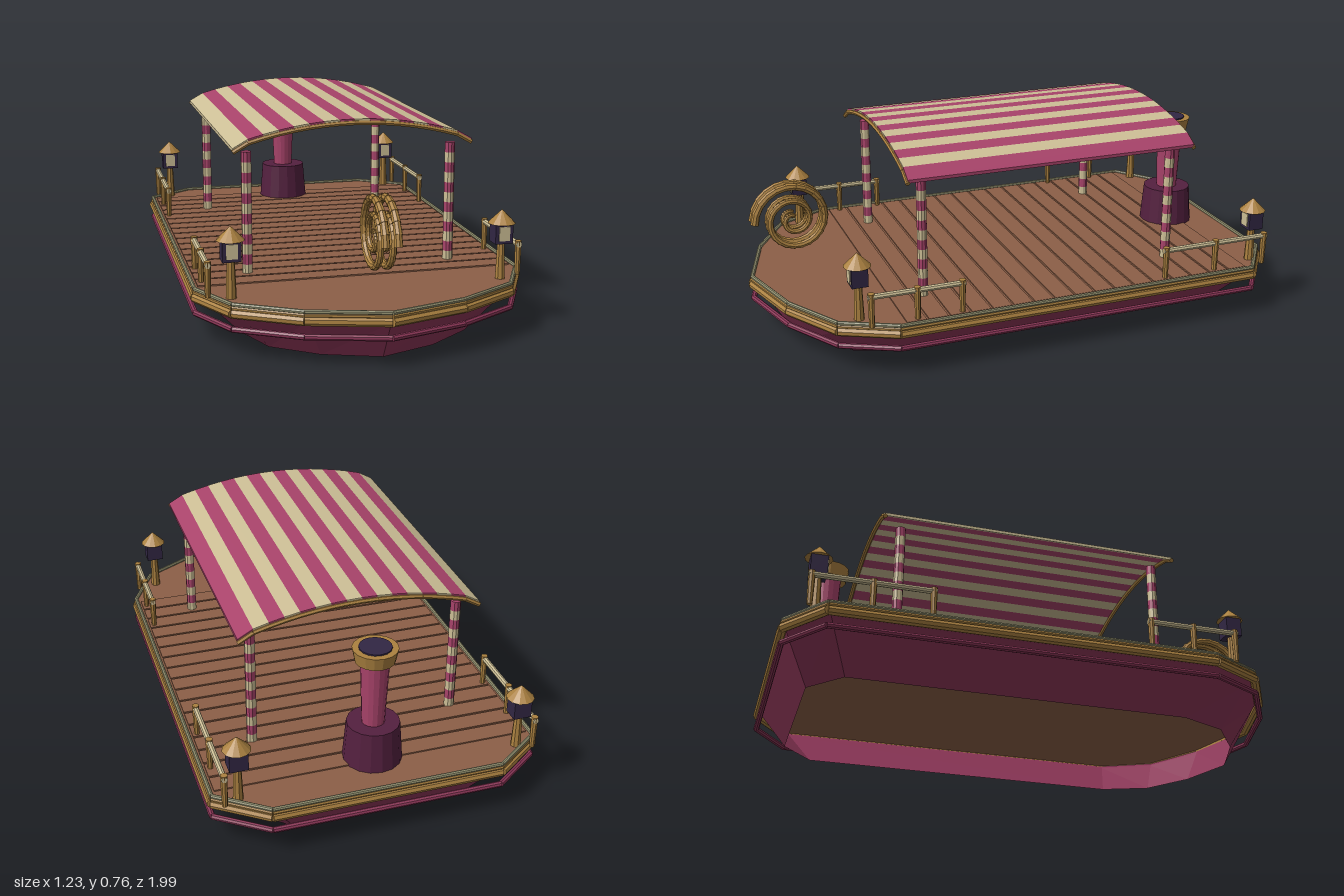
import * as THREE from 'three';

const mat = (name, color, extra = {}) => {
  const m = new THREE.MeshStandardMaterial({ color, flatShading: true, ...extra });
  m.name = name;
  return m;
};

export function createModel() {
  const pink = mat('pink', 0xa8436a);
  const cream = mat('cream', 0xcdbf96);
  const brass = mat('brass', 0xab8140);
  const wood = mat('deck brown', 0x8c5f47);
  const plum = mat('plum', 0x54203f);
  const indigo = mat('indigo', 0x322744);
  const trim = mat('weathered trim', 0x92906f);
  const hullMat = mat('hull rose', 0x8a3556, { side: THREE.DoubleSide });

  const model = new THREE.Group();
  model.name = 'canopyBoat';
  const group = (name, parent = model) => {
    const g = new THREE.Group();
    g.name = name;
    parent.add(g);
    return g;
  };
  const add = (name, geo, material, x, y, z, parent = model) => {
    const m = new THREE.Mesh(geo, material);
    m.name = name;
    m.position.set(x, y, z);
    parent.add(m);
    return m;
  };
  const V = (x, y, z) => new THREE.Vector3(x, y, z);
  // round bar between two points
  const bar = (name, a, b, ra, rb, material, parent, sides = 8) => {
    const m = add(name, new THREE.CylinderGeometry(rb, ra, a.distanceTo(b), sides), material, 0, 0, 0, parent);
    m.position.copy(a).add(b).multiplyScalar(0.5);
    m.quaternion.setFromUnitVectors(V(0, 1, 0), b.clone().sub(a).normalize());
    return m;
  };

  // Plan outline, mirrored from the +x half (bow to stern)
  const half = [[0.28, 0.9], [0.5, 0.77], [0.6, 0.57], [0.6, -0.85], [0.42, -0.98]];
  const outline = [[0, 0.98], ...half, ...half.slice().reverse().map(([x, z]) => [-x, z])];
  const n = outline.length;

  // Hull: open flared shell
  const rings = [[0.72, 0.89, 0], [0.95, 0.98, 0.15], [0.99, 0.99, 0.17]];
  const pos = [], idx = [];
  rings.forEach(([sx, sz, y]) => outline.forEach(([x, z]) => pos.push(x * sx, y, z * sz)));
  for (let r = 0; r < rings.length - 1; r++) {
    for (let i = 0; i < n; i++) {
      const a = r * n + i, b = r * n + (i + 1) % n;
      idx.push(a, b, b + n, a, b + n, a + n);
    }
  }
  const hullGeo = new THREE.BufferGeometry();
  hullGeo.setAttribute('position', new THREE.Float32BufferAttribute(pos, 3));
  hullGeo.setIndex(idx);
  hullGeo.computeVertexNormals();
  add('hull', hullGeo, hullMat, 0, 0, 0);

  // Deck slab and cross planks
  const deckShape = new THREE.Shape(outline.map(([x, z]) => new THREE.Vector2(x, -z)));
  const deckGeo = new THREE.ExtrudeGeometry(deckShape, { depth: 0.025, bevelEnabled: false });
  deckGeo.rotateX(-Math.PI / 2);
  add('deck', deckGeo, wood, 0, 0.165, 0);
  const planks = group('planks');
  for (let i = 0; i < 17; i++) {
    add('plank', new THREE.BoxGeometry(1.17, 0.006, 0.072), wood, 0, 0.192, -0.79 + i * 0.081, planks);
  }

  // Rails that follow the outline
  const loopRail = (name, y, r, material, s = 1) => {
    const g = group(name);
    for (let i = 0; i < n; i++) {
      const [ax, az] = outline[i], [bx, bz] = outline[(i + 1) % n];
      bar('railSegment', V(ax * s, y, az * s), V(bx * s, y, bz * s), r, r, material, g);
    }
  };
  loopRail('rubRail', 0.105, 0.011, hullMat);
  loopRail('brassBelt', 0.161, 0.017, brass);
  loopRail('brassLip', 0.181, 0.009, brass);
  loopRail('deckEdgeTrim', 0.193, 0.008, trim);

  // Arched striped awning
  const archY = (x) => 0.757 - 0.06 * (x / 0.4) ** 2 - (Math.abs(x) > 0.42 ? 0.014 : 0);
  const awning = group('awning');
  const z0 = -0.65, z1 = 0.485, w = 0.888 / 16;
  for (let i = 0; i < 16; i++) {
    const xa = -0.444 + i * w, xb = xa + w;
    const s = new THREE.Shape([[xa, archY(xa) - 0.012], [xb, archY(xb) - 0.012], [xb, archY(xb)], [xa, archY(xa)]]
      .map(([x, y]) => new THREE.Vector2(x, y)));
    add('awningStripe', new THREE.ExtrudeGeometry(s, { depth: z1 - z0, bevelEnabled: false }),
      i % 2 ? pink : cream, 0, 0, z0, awning);
    for (const z of [z0, z1]) {
      bar('awningRib', V(xa, archY(xa) - 0.014, z), V(xb, archY(xb) - 0.014, z), 0.009, 0.009, brass, awning, 6);
    }
  }

  // Banded awning posts
  for (const x of [-0.385, 0.385]) {
    for (const z of [0.42, -0.58]) {
      const post = group('awningPost');
      const h = 0.455 / 12;
      for (let i = 0; i < 12; i++) {
        add('postBand', new THREE.CylinderGeometry(0.019, 0.019, h, 10), i % 2 ? pink : cream, x, 0.19 + h * (i + 0.5), z, post);
      }
    }
  }

  // Funnel
  const funnel = group('funnel');
  funnel.position.z = -0.79;
  const ring = (name, rt, rb, ya, yb, m) =>
    add(name, new THREE.CylinderGeometry(rt, rb, yb - ya, 16), m, 0, (ya + yb) / 2, 0, funnel);
  ring('funnelBase', 0.095, 0.107, 0.19, 0.34, plum);
  ring('funnelShaft', 0.052, 0.041, 0.34, 0.595, pink);
  ring('funnelCap', 0.081, 0.071, 0.59, 0.64, brass);
  ring('funnelMouth', 0.058, 0.058, 0.637, 0.645, indigo);

  // Lanterns and side railings, mirrored
  const lantern = (x, z) => {
    const g = group('lantern');
    g.position.set(x, 0, z);
    bar('lanternPost', V(0, 0.19, 0), V(0, 0.33, 0), 0.019, 0.014, brass, g);
    add('lanternBody', new THREE.BoxGeometry(0.066, 0.075, 0.06), indigo, 0, 0.362, 0, g);
    add('lanternPane', new THREE.BoxGeometry(0.04, 0.052, 0.006), cream, 0, 0.362, 0.031, g);
    add('lanternRoof', new THREE.ConeGeometry(0.05, 0.05, 12), brass, 0, 0.421, 0, g);
  };
  const railing = (x, za, zb) => {
    const g = group('sideRailing');
    for (const z of [za, (za + zb) / 2, zb]) {
      bar('railingPost', V(x, 0.19, z), V(x, 0.318, z), 0.01, 0.013, brass, g);
    }
    bar('railingBar', V(x, 0.305, za - 0.012), V(x, 0.305, zb + 0.012), 0.011, 0.011, cream, g);
  };
  for (const s of [1, -1]) {
    lantern(s * 0.49, 0.69);
    lantern(s * 0.515, -0.885);
    railing(s * 0.567, 0.33, 0.665);
    railing(s * 0.567, -0.91, -0.485);

    // Ringed bow scroll
    const scroll = group('bowScroll');
    const steps = 52;
    const at = (i) => {
      const t = i / steps, a = t * Math.PI * 2 * 2.3, r = 0.148 - 0.133 * t;
      return V(s * 0.022, 0.41 + r * Math.sin(a), 0.812 + r * Math.cos(a));
    };
    for (let i = 0; i < steps; i++) {
      const r = 0.016 - 0.006 * i / steps;
      bar('scrollLink', at(i), at(i + 1.1), r, r * 0.85, brass, scroll);
    }
  }
  return model;
}
